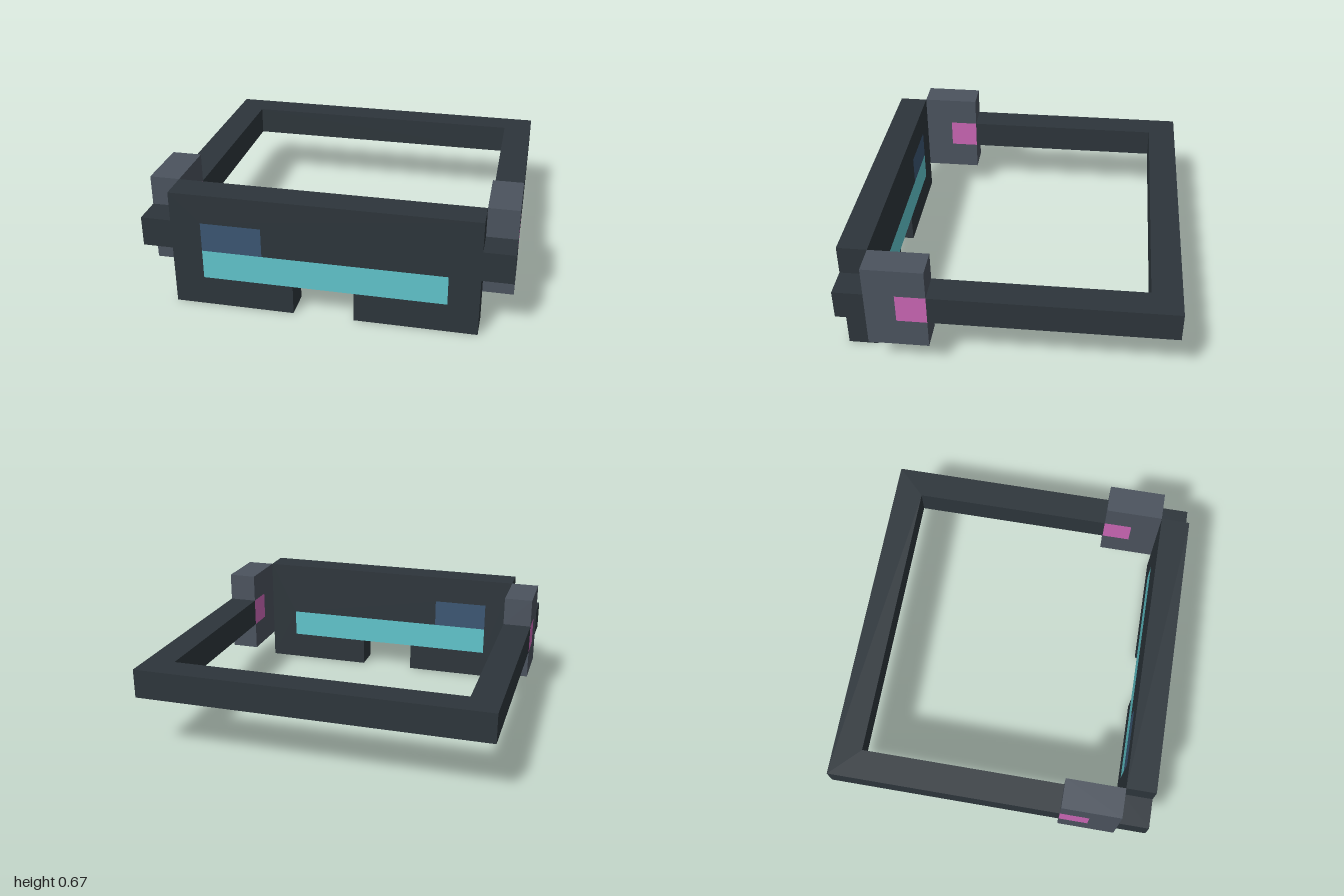
import * as THREE from 'three';

const U = 1 / 6; // everything sits on a grid of this cell size

const material = (name, color) => {
  const m = new THREE.MeshStandardMaterial({ color });
  m.name = name;
  return m;
};

// Closed outline from grid points
const outline = (points, Type = THREE.Shape) =>
  new Type(points.map(([a, b]) => new THREE.Vector2(a * U, b * U)));

// One-cell-thick slab from an outline
const slab = (shape) =>
  new THREE.ExtrudeGeometry(shape, { depth: U, bevelEnabled: false });

// Box between two grid corners
const box = (x0, x1, y0, y1, z0, z1) =>
  new THREE.BoxGeometry((x1 - x0) * U, (y1 - y0) * U, (z1 - z0) * U)
    .translate((x0 + x1) * U / 2, (y0 + y1) * U / 2, (z0 + z1) * U / 2);

export function createModel() {
  const model = new THREE.Group();
  model.name = 'visor';

  const dark = material('dark frame', 0x2d353b);
  const grey = material('grey hinge', 0x4b535e);
  const cyan = material('cyan lens', 0x60c5cc);
  const blue = material('blue lens', 0x3b5673);
  const pink = material('pink light', 0xca66b4);

  const add = (name, geometry, mat) => {
    const mesh = new THREE.Mesh(geometry, mat);
    mesh.name = name;
    model.add(mesh);
  };

  // Front plate with nose notch and an opening for the lenses
  const plate = outline([
    [-5, 0], [-1, 0], [-1, 1], [-4, 1], [-4, 3], [-2, 3], [-2, 2], [4, 2],
    [4, 1], [1, 1], [1, 0], [5, 0], [5, 4], [-5, 4],
  ]);
  add('frontPlate', slab(plate).translate(0, 0, 4.5 * U), dark);

  // Lenses run through the full plate thickness
  add('mainLens', box(-4, 4, 1, 2, 4.5, 5.5), cyan);
  add('upperLens', box(-4, -2, 2, 3, 4.5, 5.5), blue);

  // U-shaped band around the back, outlined in x and z
  const band = outline([
    [-6, -5.5], [6, -5.5], [6, 2.5], [5, 2.5], [5, -4.5],
    [-5, -4.5], [-5, 2.5], [-6, 2.5],
  ]);
  add('headBand', slab(band).rotateX(Math.PI / 2).translate(0, 3 * U, 0), dark);

  // Side hinges, outlined in z and y, with a light set into the rear
  const hinge = outline([
    [2.5, 1], [4.5, 1], [4.5, 4], [2.5, 4], [2.5, 3], [3.5, 3], [3.5, 2], [2.5, 2],
  ]);
  for (const [side, x] of [['left', 5], ['right', -6]]) {
    add(side + 'Hinge', slab(hinge).rotateY(-Math.PI / 2).translate((x + 1) * U, 0, 0), grey);
    add(side + 'Light', box(x, x + 1, 2, 3, 2.5, 3.5), pink);
    add(side + 'EndBlock', box(x, x + 1, 2, 3, 4.5, 5.5), dark);
  }

  return model;
}
